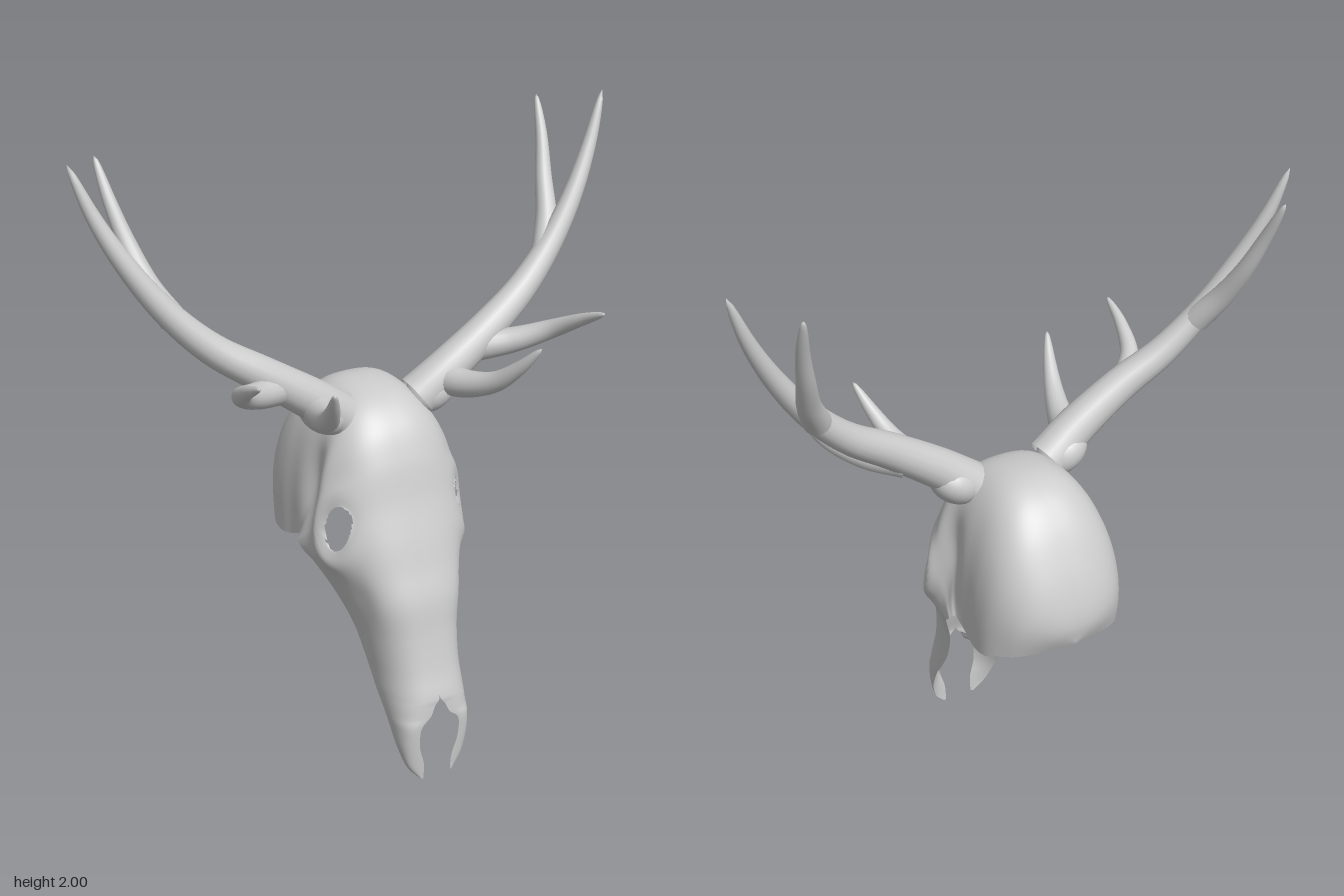
import * as THREE from 'three';
import { mergeVertices, mergeGeometries } from 'three/addons/utils/BufferGeometryUtils.js';

const V = (x, y, z) => new THREE.Vector3(x, y, z);
const bone = new THREE.MeshStandardMaterial({ color: 0xcccccc, side: THREE.DoubleSide });

// Skull sections from snout tip over the crown to the nape:
// ridge z, ridge y, rim z, rim y, half width at the rim, half width of the nose gap
const SECTIONS = [
  [0.39, 0, 0.385, 0, 0.06, 0.05],
  [0.395, 0.06, 0.37, 0.05, 0.1, 0.052],
  [0.4, 0.13, 0.345, 0.12, 0.122, 0.07],
  [0.405, 0.2, 0.31, 0.19, 0.13, 0.068],
  [0.405, 0.235, 0.285, 0.23, 0.133, 0.035],
  [0.403, 0.27, 0.262, 0.26, 0.135, 0.018],
  [0.4, 0.3, 0.24, 0.29, 0.137, 0],
  [0.375, 0.38, 0.19, 0.37, 0.142, 0],
  [0.35, 0.49, 0.135, 0.48, 0.16, 0],
  [0.33, 0.6, 0.075, 0.59, 0.2, 0],
  [0.295, 0.7, 0.02, 0.66, 0.235, 0],
  [0.265, 0.79, -0.02, 0.69, 0.255, 0],
  [0.225, 0.9, -0.045, 0.715, 0.26, 0],
  [0.185, 1.03, -0.05, 0.725, 0.255, 0],
  [0.13, 1.13, -0.055, 0.73, 0.25, 0],
  [0.04, 1.195, -0.07, 0.725, 0.24, 0],
  [-0.1, 1.215, -0.12, 0.7, 0.235, 0],
  [-0.2, 1.185, -0.18, 0.685, 0.24, 0],
  [-0.28, 1.11, -0.24, 0.69, 0.235, 0],
  [-0.345, 1.0, -0.29, 0.71, 0.21, 0],
  [-0.385, 0.9, -0.33, 0.72, 0.17, 0],
  [-0.4, 0.82, -0.36, 0.73, 0.1, 0],
  [-0.39, 0.75, -0.388, 0.745, 0, 0],
];
const spline = (pts) => new THREE.CatmullRomCurve3(pts, false, 'catmullrom', 0.5);
const ridge = spline(SECTIONS.map((s) => V(s[4], s[1], s[0])));
const rim = spline(SECTIONS.map((s) => V(s[5], s[3], s[2])));

// Eye socket as an ellipse in the side plane
const EYE = { z: 0.147, y: 0.83, rz: 0.04, ry: 0.072 };
const eyeDistance = (p) => Math.hypot((p.z - EYE.z) / EYE.rz, (p.y - EYE.y) / EYE.ry);
const bump = (d, width) => Math.exp(-((d / width) ** 2));

// Point on the half shell: t runs along the head, u from the midline to the rim
function shellPoint(t, u) {
  const a = ridge.getPoint(t), b = rim.getPoint(t);
  const width = Math.max(0, a.x), gap = Math.min(width, Math.max(0, b.x));
  const across = Math.sin(u * Math.PI / 2) ** 0.75;
  const back = 1 - Math.max(0, Math.cos(u * Math.PI / 2)) ** 0.75;
  const p = V(gap + (width - gap) * across,
    THREE.MathUtils.lerp(a.y, b.y, back), THREE.MathUtils.lerp(a.z, b.z, back));
  // raised orbit, brow bar behind it, hollow temple and hollow cheek
  const side = across ** 4 * Math.min(1, width / 0.2);
  p.x += side * (0.025 * bump(eyeDistance(p) - 1.6, 0.6)
    + 0.015 * bump(p.z - 0.07, 0.03) * bump(p.y - 0.98, 0.15)
    - 0.04 * bump(p.z - 0.0, 0.05) * bump(p.y - 0.93, 0.17));
  p.x -= 0.018 * across * bump(p.z - 0.22, 0.07) * bump(p.y - 0.62, 0.1);
  return p;
}

// Mirrored pair of surface grids joined along the midline; cells inside the eye are left out
function mirroredGrid(rows, cols, pointAt) {
  const position = [], index = [];
  for (const s of [1, -1]) {
    const base = position.length / 3, inside = [];
    for (let i = 0; i <= rows; i++) {
      for (let j = 0; j <= cols; j++) {
        const p = pointAt(i / rows, j / cols), r = eyeDistance(p);
        inside.push(r < 1);
        if (r < 1 && r > 0) { // snap to the socket edge
          p.z = EYE.z + (p.z - EYE.z) / r;
          p.y = EYE.y + (p.y - EYE.y) / r;
        }
        position.push(s * p.x, p.y, p.z);
      }
    }
    for (let i = 0; i < rows; i++) {
      for (let j = 0; j < cols; j++) {
        const a = i * (cols + 1) + j, b = a + 1, c = b + cols + 1, d = c - 1;
        if ([a, b, c, d].every((k) => inside[k])) continue;
        const f = s > 0 ? [a, b, c, a, c, d] : [a, c, b, a, d, c];
        index.push(...f.map((k) => k + base));
      }
    }
  }
  let g = new THREE.BufferGeometry();
  g.setAttribute('position', new THREE.Float32BufferAttribute(position, 3));
  g.setIndex(index);
  g = mergeVertices(g, 1e-5);
  g.computeVertexNormals();
  return g;
}

// Tapered round horn with a blunt tip
function horn(points, r0, r1) {
  const curve = new THREE.CatmullRomCurve3(points), n = 40, sides = 16;
  let g = new THREE.TubeGeometry(curve, n, 1, sides);
  const pos = g.attributes.position, v = V(0, 0, 0);
  for (let i = 0; i <= n; i++) {
    const t = i / n, c = curve.getPointAt(t);
    const r = THREE.MathUtils.lerp(r0, r1, t) * Math.sqrt(Math.max(0, 1 - t ** 14));
    for (let j = 0; j <= sides; j++) {
      const k = i * (sides + 1) + j;
      v.fromBufferAttribute(pos, k).sub(c).multiplyScalar(r).add(c);
      pos.setXYZ(k, v.x, v.y, v.z);
    }
  }
  g.deleteAttribute('uv');
  g.deleteAttribute('normal');
  g = mergeVertices(g, 1e-5);
  g.computeVertexNormals();
  return g;
}

// name, base radius, tip radius, path on the left side
const HORNS = [
  ['mainBeam', 0.07, 0.016, [[0.14, 1.15, 0.02], [0.24, 1.225, 0.03], [0.4, 1.335, 0.025], [0.54, 1.43, 0],
    [0.66, 1.55, -0.025], [0.76, 1.69, -0.05], [0.84, 1.84, -0.08], [0.9, 2.0, -0.105]]],
  ['rearTine', 0.042, 0.012, [[0.645, 1.53, -0.03], [0.69, 1.62, -0.09], [0.72, 1.73, -0.155],
    [0.745, 1.85, -0.21], [0.76, 1.97, -0.268]]],
  ['browTine', 0.055, 0.011, [[0.22, 1.2, 0.02], [0.255, 1.205, 0.13], [0.29, 1.24, 0.23],
    [0.32, 1.305, 0.31], [0.35, 1.385, 0.38]]],
  ['foreTine', 0.05, 0.011, [[0.35, 1.28, 0.03], [0.45, 1.3, 0.09], [0.535, 1.345, 0.17],
    [0.57, 1.405, 0.28], [0.58, 1.453, 0.38]]],
];

export function createModel() {
  const model = new THREE.Group();
  const add = (parent, name, geometry) => {
    const mesh = new THREE.Mesh(geometry, bone);
    mesh.name = name;
    parent.add(mesh);
  };

  // Open-backed skull shell
  const skull = new THREE.Group();
  skull.name = 'skull';
  add(skull, 'skullShell', mirroredGrid(176, 44, shellPoint));

  // Back faces that close the two snout prongs
  const prongEnd = 5 / (SECTIONS.length - 1);
  add(skull, 'snoutProngBacks', mirroredGrid(40, 6, (t, u) =>
    shellPoint(t * prongEnd, 1).lerp(shellPoint(t * prongEnd, 0), u)));
  model.add(skull);

  // Antlers, mirrored
  for (const s of [1, -1]) {
    const antler = new THREE.Group();
    antler.name = s > 0 ? 'leftAntler' : 'rightAntler';
    for (const [name, r0, r1, path] of HORNS) {
      add(antler, name, horn(path.map(([x, y, z]) => V(s * x, y, z)), r0, r1));
    }
    // Burr where the antler grows out of the brow
    const burr = new THREE.SphereGeometry(1, 24, 16);
    burr.scale(0.09, 0.065, 0.075).rotateZ(s * 0.6).translate(s * 0.19, 1.165, 0.02);
    add(antler, 'antlerBase', burr);
    model.add(antler);
  }
  return model;
}
